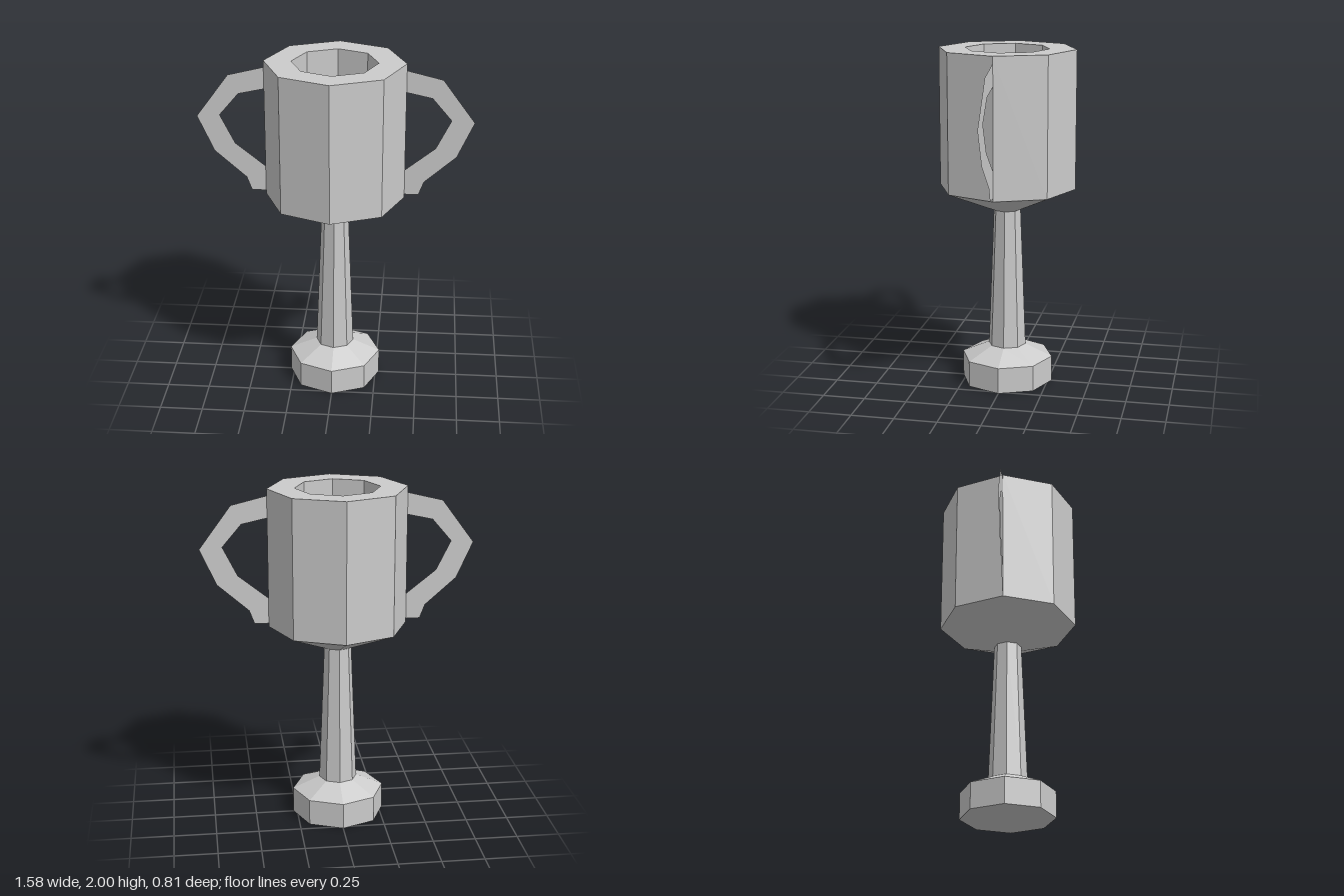
import * as THREE from 'three';

const SIDES = 8;

export function createModel() {
  const group = new THREE.Group();
  const metal = new THREE.MeshStandardMaterial({ color: 0xcccccc, flatShading: true });
  const thin = new THREE.MeshStandardMaterial({
    color: 0xcccccc, flatShading: true, side: THREE.DoubleSide,
  });

  // Eight-sided turned part from [radius, height] pairs
  function turned(name, profile) {
    const points = profile.map(([r, y]) => new THREE.Vector2(r, y));
    const mesh = new THREE.Mesh(new THREE.LatheGeometry(points, SIDES), metal);
    mesh.name = name;
    group.add(mesh);
  }

  turned('base', [[0, 0], [0.272, 0], [0.272, 0.155], [0.112, 0.225]]);
  turned('stem', [[0.112, 0.225], [0.08, 1.055]]);
  // Outer bowl, rim, then down the inner wall to the floor
  turned('cup', [[0.08, 1.055], [0.403, 1.19], [0.403, 2], [0.246, 2], [0.246, 1.3], [0, 1.3]]);

  // Flat handles, mirrored left and right
  const outline = [
    [0.39, 1.963], [0.607, 1.91], [0.792, 1.66], [0.697, 1.45], [0.515, 1.29], [0.485, 1.21], [0.39, 1.21],
    [0.39, 1.352], [0.576, 1.5], [0.661, 1.67], [0.55, 1.8], [0.39, 1.835],
  ];
  for (const [name, side] of [['leftHandle', 1], ['rightHandle', -1]]) {
    const shape = new THREE.Shape(outline.map(([x, y]) => new THREE.Vector2(side * x, y)));
    const handle = new THREE.Mesh(new THREE.ShapeGeometry(shape), thin);
    handle.name = name;
    group.add(handle);
  }

  return group;
}
